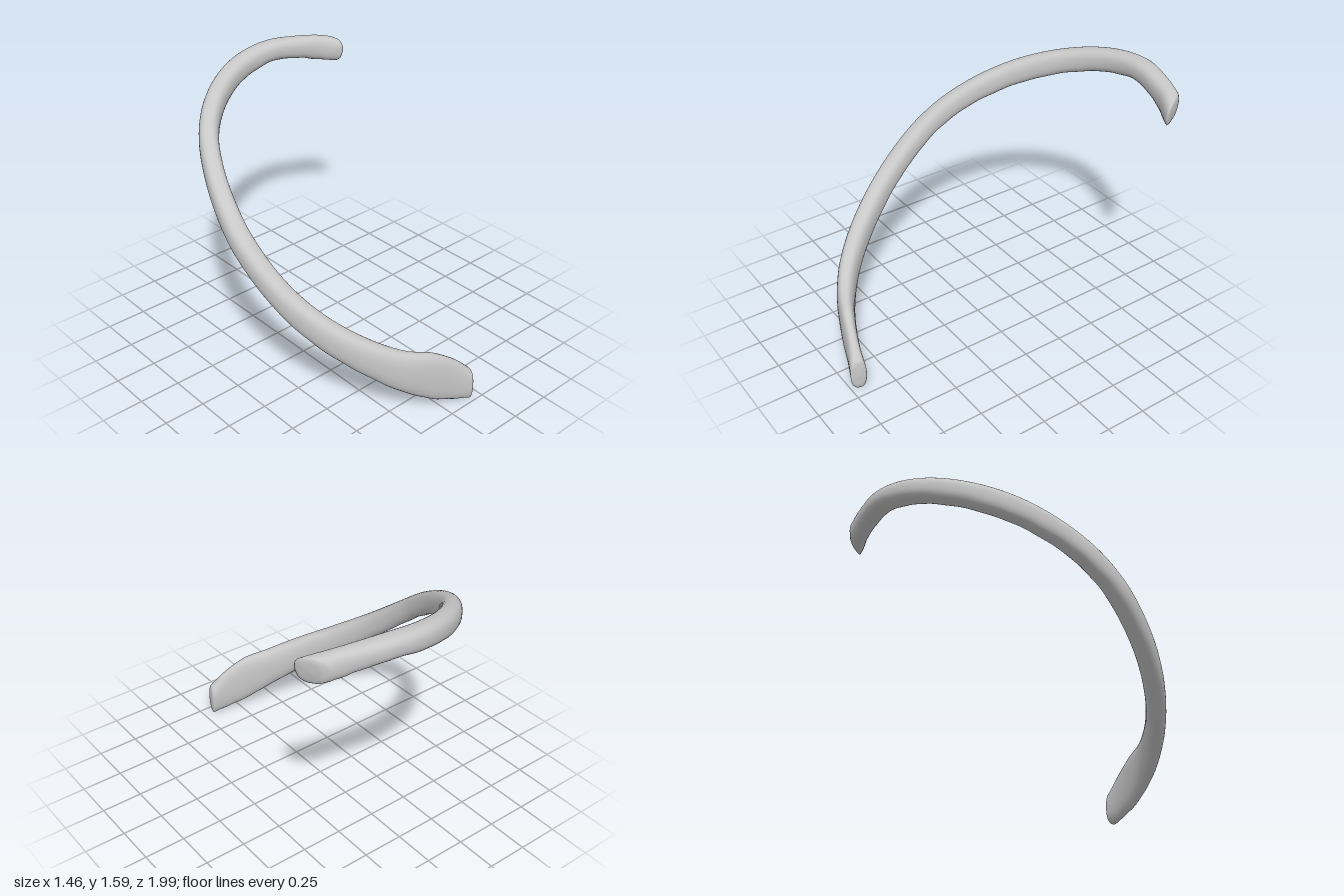
import * as THREE from 'three';

// Stations along the bone, front end to back end:
// [x, y, z], [thickness, height, lean], yaw
// lean 0 keeps the section upright, 1 sets it square to the path; yaw skews the end cut.
const STATIONS = [
  [[0.18, 0.1, 0.95], [0.095, 0.2, 0], 0],
  [[0.08, 0.155, 0.92], [0.08, 0.265, 0.2], 0],
  [[-0.06, 0.225, 0.87], [0.09, 0.295, 0.35], 0],
  [[-0.215, 0.3, 0.795], [0.105, 0.24, 0.75], 0],
  [[-0.37, 0.405, 0.675], [0.115, 0.2, 1], 0],
  [[-0.52, 0.54, 0.49], [0.12, 0.175, 1], 0],
  [[-0.627, 0.715, 0.265], [0.122, 0.15, 1], 0],
  [[-0.667, 0.925, 0.01], [0.125, 0.135, 1], 0],
  [[-0.642, 1.065, -0.17], [0.12, 0.135, 1], 0],
  [[-0.57, 1.19, -0.368], [0.115, 0.14, 1], 0],
  [[-0.455, 1.295, -0.567], [0.115, 0.145, 1], 0],
  [[-0.3, 1.38, -0.73], [0.12, 0.145, 1], 0],
  [[-0.1, 1.453, -0.86], [0.125, 0.14, 1], 0],
  [[0.1, 1.5, -0.924], [0.13, 0.135, 1], 0],
  [[0.3, 1.526, -0.93], [0.13, 0.125, 1], 0],
  [[0.48, 1.513, -0.89], [0.12, 0.135, 1], 0.1],
  [[0.6, 1.493, -0.85], [0.125, 0.15, 1], 0.45],
  [[0.685, 1.475, -0.81], [0.17, 0.15, 1], 0.9],
];
const SIDES = 28;
const STEPS = 170;

const bend = (c, p) => Math.sign(c) * Math.pow(Math.abs(c), p);

function boneGeometry() {
  const path = new THREE.CatmullRomCurve3(STATIONS.map(s => new THREE.Vector3(...s[0])));
  const size = new THREE.CatmullRomCurve3(
    STATIONS.map(s => new THREE.Vector3(...s[1])), false, 'catmullrom', 0.5);
  const yaw = new THREE.CatmullRomCurve3(
    STATIONS.map(s => new THREE.Vector3(s[2], 0, 0)), false, 'catmullrom', 0.5);
  const up = new THREE.Vector3(0, 1, 0);
  const positions = [];
  const indices = [];
  let rings = 0;

  // One cross-section; shrink and push round over the two ends
  const addRing = (t, shrink = 1, push = 0) => {
    const T = path.getTangent(t);
    const s = size.getPoint(t);
    const side = new THREE.Vector3().crossVectors(T, up).normalize();
    const V = up.clone().addScaledVector(T, -s.z * T.y).normalize();
    side.applyAxisAngle(V, yaw.getPoint(t).x);
    const out = new THREE.Vector3().crossVectors(V, side);
    const C = path.getPoint(t).addScaledVector(out, push);
    const wobble = 0.0012 * (Math.sin(t * 83) + Math.sin(t * 137 + 1));
    for (let j = 0; j < SIDES; j++) {
      const a = (j / SIDES) * Math.PI * 2;
      const low = Math.sin(a) < 0 ? wobble * Math.sin(a) : 0;
      const p = C.clone()
        .addScaledVector(side, shrink * bend(Math.cos(a), 0.75) * s.x / 2)
        .addScaledVector(V, shrink * (bend(Math.sin(a), 0.85) * s.y / 2 + low));
      positions.push(p.x, p.y, p.z);
    }
    rings++;
  };

  addRing(0, 0.02, -0.012);
  addRing(0, 0.65, -0.01);
  addRing(0, 0.9, -0.005);
  for (let i = 0; i <= STEPS; i++) addRing(i / STEPS);
  addRing(1, 0.9, 0.005);
  addRing(1, 0.65, 0.01);
  addRing(1, 0.02, 0.012);

  for (let i = 0; i < rings - 1; i++) {
    for (let j = 0; j < SIDES; j++) {
      const a = i * SIDES + j;
      const b = i * SIDES + (j + 1) % SIDES;
      indices.push(a, a + SIDES, b, b, a + SIDES, b + SIDES);
    }
  }
  // Close the tiny hole at each tip
  const last = (rings - 1) * SIDES;
  for (let j = 1; j < SIDES - 1; j++) {
    indices.push(0, j, j + 1, last, last + j + 1, last + j);
  }

  const geometry = new THREE.BufferGeometry();
  geometry.setAttribute('position', new THREE.Float32BufferAttribute(positions, 3));
  geometry.setIndex(indices);
  geometry.computeVertexNormals();

  // Stand on the ground
  geometry.computeBoundingBox();
  geometry.translate(0, -geometry.boundingBox.min.y, 0);
  return geometry;
}

export function createModel() {
  const group = new THREE.Group();
  group.name = 'ribBone';
  const bone = new THREE.MeshStandardMaterial({ color: 0xc8c8c8 });
  bone.name = 'boneGrey';
  const rib = new THREE.Mesh(boneGeometry(), bone);
  rib.name = 'rib';
  group.add(rib);
  return group;
}
